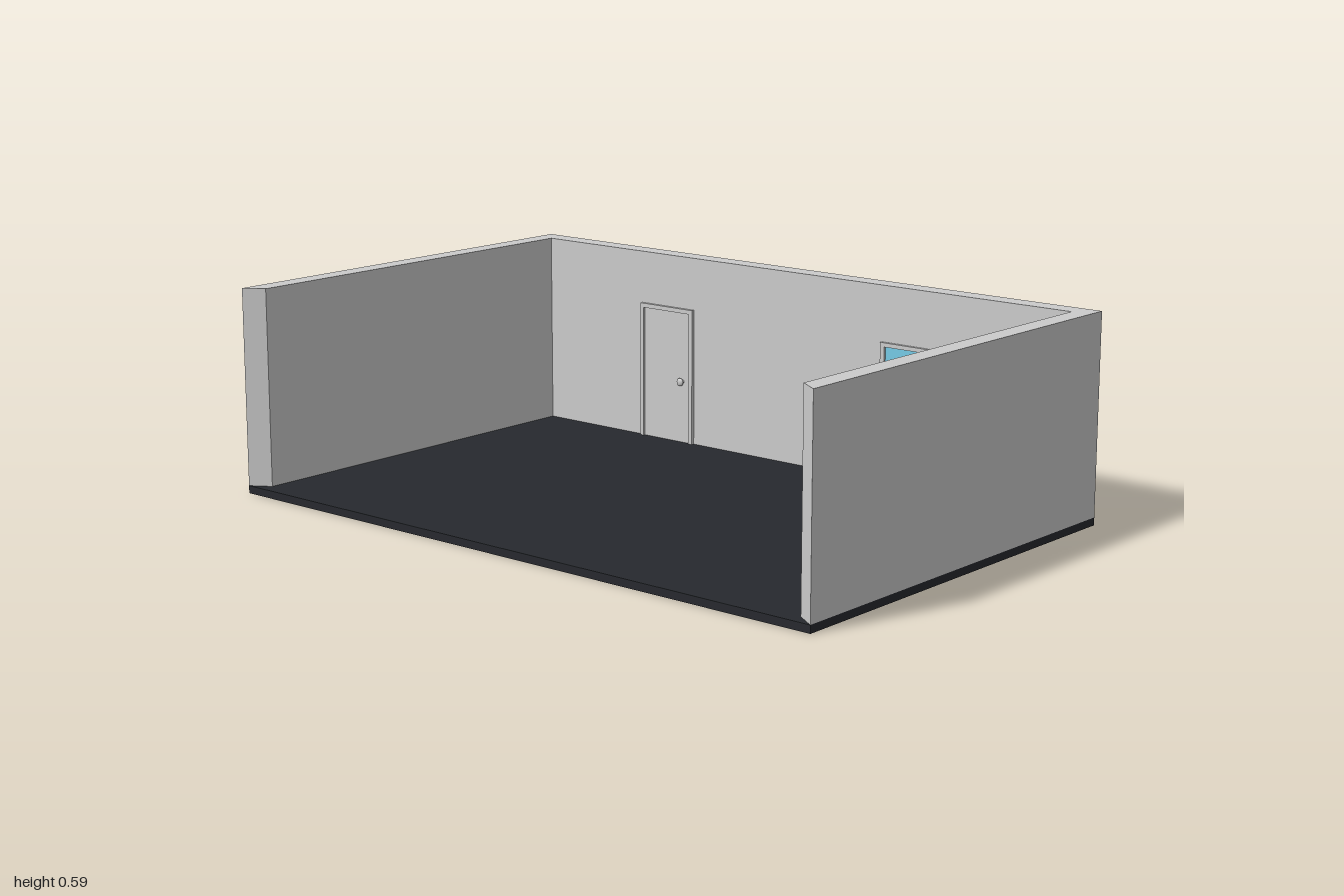
import * as THREE from 'three';

const grey = new THREE.MeshStandardMaterial({ color: 0xcccccc });
const dark = new THREE.MeshStandardMaterial({ color: 0x27292e });
const blue = new THREE.MeshStandardMaterial({ color: 0x76cbe6 });

const BACK = -0.64, PANEL = -0.562, FRONT = -0.555; // depths of door and window

function add(parent, name, geometry, material = grey) {
  const mesh = new THREE.Mesh(geometry, material);
  mesh.name = name;
  parent.add(mesh);
  return mesh;
}

// Box given by its limits on each axis
function box(parent, name, [x0, x1], [y0, y1], [z0, z1], material) {
  const mesh = add(parent, name, new THREE.BoxGeometry(x1 - x0, y1 - y0, z1 - z0), material);
  mesh.position.set((x0 + x1) / 2, (y0 + y1) / 2, (z0 + z1) / 2);
  return mesh;
}

function polygon(points) {
  return new THREE.Shape(points.map(([x, y]) => new THREE.Vector2(x, y)));
}

// Raised trim on the room side of a door or window
function trim(parent, name, shape) {
  const geometry = new THREE.ExtrudeGeometry(shape, { depth: FRONT - PANEL, bevelEnabled: false });
  add(parent, name, geometry).position.z = PANEL;
}

export function createModel() {
  const model = new THREE.Group();
  model.name = 'room';

  box(model, 'floor', [-1, 1], [0, 0.022], [-0.625, 0.637], dark);

  // U-shaped walls with slanted front ends, drawn in plan and raised
  const plan = polygon([
    [-1, -0.637], [-0.943, -0.6], [-0.943, 0.565], [0.943, 0.565],
    [0.943, -0.6], [1, -0.637], [1, 0.625], [-1, 0.625],
  ]);
  const walls = add(model, 'walls', new THREE.ExtrudeGeometry(plan, { depth: 0.568, bevelEnabled: false }));
  walls.rotation.x = -Math.PI / 2;
  walls.position.y = 0.022;

  // Door: leaf through the wall, three-sided trim and knob
  const door = new THREE.Group();
  door.name = 'door';
  model.add(door);
  box(door, 'doorLeaf', [-0.567, -0.363], [0.015, 0.433], [BACK, PANEL]);
  trim(door, 'doorFrame', polygon([
    [-0.567, 0.015], [-0.555, 0.015], [-0.555, 0.42], [-0.377, 0.42],
    [-0.377, 0.015], [-0.363, 0.015], [-0.363, 0.433], [-0.567, 0.433],
  ]));
  const stem = add(door, 'knobStem', new THREE.CylinderGeometry(0.006, 0.006, 0.012, 16));
  stem.rotation.x = Math.PI / 2;
  stem.position.set(-0.405, 0.21, -0.557);
  const knob = add(door, 'doorKnob', new THREE.SphereGeometry(0.012, 20, 12));
  knob.scale.z = 0.5;
  knob.position.set(-0.405, 0.21, -0.55);

  // Window: backing, two panes, trim and middle bar
  const win = new THREE.Group();
  win.name = 'window';
  model.add(win);
  box(win, 'windowBacking', [0.328, 0.745], [0.225, 0.428], [BACK, PANEL - 0.001]);
  for (const [x0, x1] of [[0.342, 0.53], [0.545, 0.734]]) {
    box(win, 'pane', [x0, x1], [0.238, 0.416], [PANEL - 0.002, PANEL], blue);
  }
  const frame = polygon([[0.328, 0.225], [0.745, 0.225], [0.745, 0.428], [0.328, 0.428]]);
  for (const [x0, x1] of [[0.342, 0.53], [0.545, 0.734]]) {
    frame.holes.push(polygon([[x0, 0.238], [x0, 0.416], [x1, 0.416], [x1, 0.238]]));
  }
  trim(win, 'windowFrame', frame);

  return model;
}
